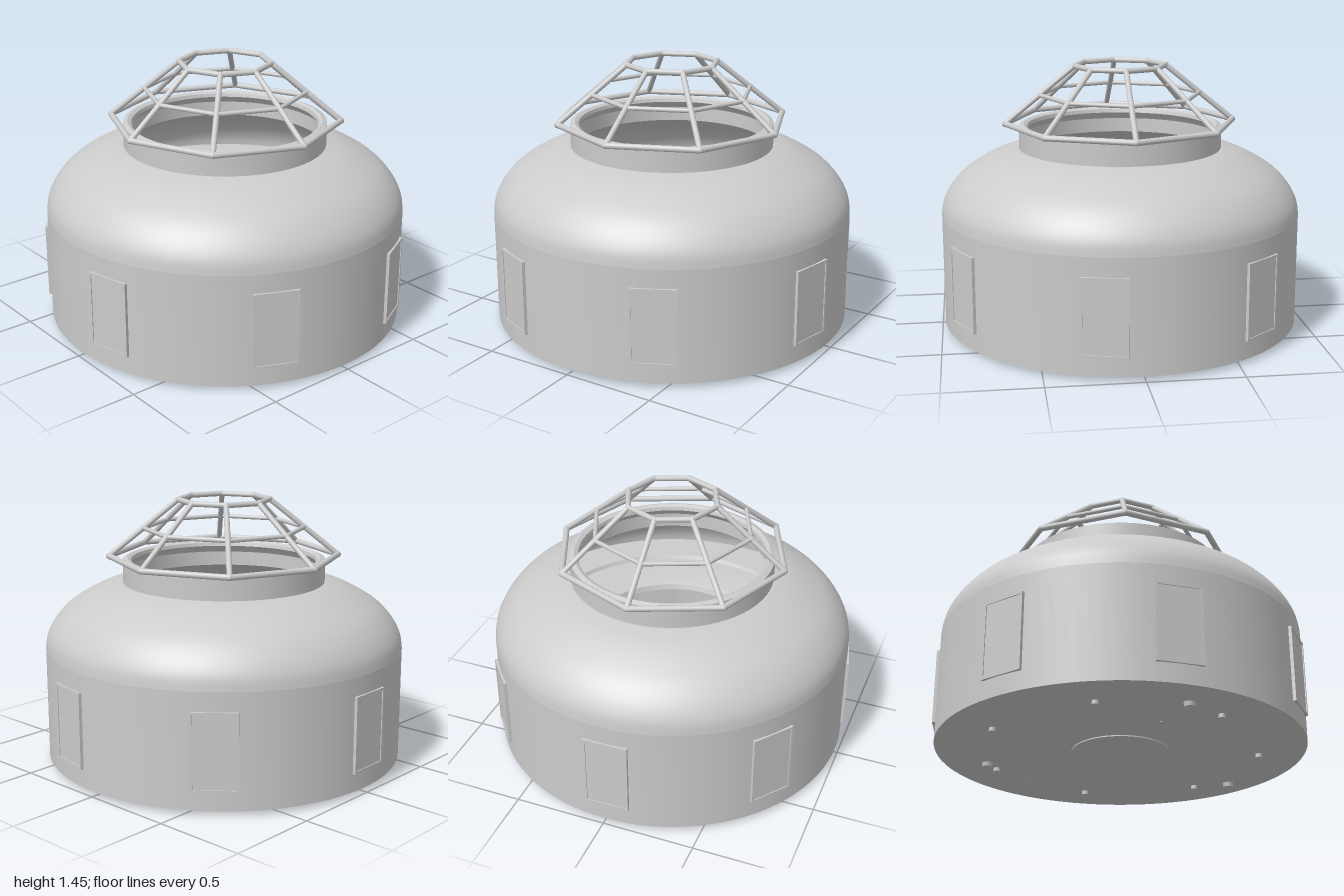
import * as THREE from 'three';
import { mergeGeometries, toCreasedNormals } from 'three/addons/utils/BufferGeometryUtils.js';

const V = (x, y, z) => new THREE.Vector3(x, y, z);

export function createModel() {
  const model = new THREE.Group();
  const grey = new THREE.MeshStandardMaterial({ color: 0xcccccc });
  const greyBoth = new THREE.MeshStandardMaterial({ color: 0xcccccc, side: THREE.DoubleSide });
  const red = new THREE.MeshStandardMaterial({ color: 0xcc0000 });

  const add = (name, geometry, material = grey, parent = model) => {
    const mesh = new THREE.Mesh(geometry, material);
    mesh.name = name;
    parent.add(mesh);
    return mesh;
  };
  const lathe = (name, pts) => add(name, toCreasedNormals(
    new THREE.LatheGeometry(pts.map(p => new THREE.Vector2(p[0], p[1])), 96), 0.5), greyBoth);
  // Cylinder between two points
  const rod = (a, b, r1, r2 = r1, sides = 12) => {
    const d = b.clone().sub(a);
    const g = new THREE.CylinderGeometry(r2, r1, d.length(), sides);
    g.applyQuaternion(new THREE.Quaternion().setFromUnitVectors(V(0, 1, 0), d.normalize()));
    const m = a.clone().add(b).multiplyScalar(0.5);
    return g.translate(m.x, m.y, m.z);
  };

  // Hollow jar: straight wall, rounded shoulder and short neck
  const shoulder = new THREE.SplineCurve([[0.985, 0.65], [0.972, 0.72], [0.93, 0.795], [0.86, 0.868],
    [0.76, 0.93], [0.66, 0.975], [0.565, 1.0]].map(p => new THREE.Vector2(...p)))
    .getPoints(28).map(p => [p.x, p.y]);
  lathe('wall', [[0, 0.04], [0.985, 0.04], [0.985, 0.65]]);
  lathe('shoulder', shoulder);
  lathe('innerShoulder', shoulder.map(([r, y]) => [r - 0.025, y - 0.02]));
  lathe('neck', [[0.565, 1.0], [0.555, 1.0], [0.555, 1.12], [0.53, 1.13], [0.51, 1.12],
    [0.505, 1.1], [0.525, 1.08], [0.54, 1.06], [0.54, 0.98]]);
  lathe('innerShelf', [[0.985, 0.65], [0.76, 0.65], [0.75, 0.63], [0.5, 0.63], [0.47, 0.62], [0.46, 0.59]]);
  const hatch = add('bottomHatch', new THREE.CylinderGeometry(0.26, 0.26, 0.006, 64));
  hatch.position.y = 0.036;

  // Octagonal cage over the opening
  const rings = [[0.63, 1.137, 0.016], [0.44, 1.29, 0.012], [0.25, 1.445, 0.015]];
  const corner = (ring, i) => V(ring[0] * Math.cos(i * Math.PI / 4), ring[1], ring[0] * Math.sin(i * Math.PI / 4));
  const bars = [];
  for (let i = 0; i < 8; i++) {
    for (const ring of rings) {
      const c = corner(ring, i);
      bars.push(rod(c, corner(ring, i + 1), ring[2]));
      bars.push(new THREE.SphereGeometry(0.017, 12, 8).translate(c.x, c.y, c.z));
    }
    bars.push(rod(corner(rings[0], i), corner(rings[2], i), 0.015));
  }
  add('cage', mergeGeometries(bars));

  // Seven framed panels around the wall, with a small stud between each pair
  const frameShape = new THREE.Shape();
  const outline = (path, w, h) => path.moveTo(-w, -h).lineTo(w, -h).lineTo(w, h).lineTo(-w, h).closePath();
  outline(frameShape, 0.12, 0.205);
  const hole = new THREE.Path();
  outline(hole, 0.108, 0.193);
  frameShape.holes.push(hole);
  const frameGeo = new THREE.ExtrudeGeometry(frameShape, { depth: 0.03, bevelEnabled: false }).translate(0, 0, -0.03);
  const plateGeo = new THREE.BoxGeometry(0.216, 0.386, 0.03).translate(0, 0, -0.02);
  const studGeo = new THREE.CylinderGeometry(0.018, 0.018, 0.03, 16);
  for (let i = 0; i < 7; i++) {
    const a = Math.PI + 0.02 + i * 2 * Math.PI / 7;
    const panel = new THREE.Group();
    panel.name = 'wallPanel';
    add('panelFrame', frameGeo, grey, panel);
    add('panelPlate', plateGeo, grey, panel);
    panel.position.set(0.994 * Math.sin(a), 0.345, 0.994 * Math.cos(a));
    panel.rotation.y = a;
    model.add(panel);
    const b = a + Math.PI / 7;
    add('stud', studGeo).position.set(0.74 * Math.sin(b), 0.035, 0.74 * Math.cos(b));
  }

  // Three larger feet
  for (const [x, z] of [[0.22, -0.72], [0.53, 0.64], [-0.72, 0.3]]) {
    add('foot', new THREE.CylinderGeometry(0.032, 0.026, 0.03, 20)).position.set(x, 0.032, z);
  }

  // Wavy ground that dips slightly through the floor
  const height = (x, z) => {
    const edge = Math.max(Math.abs(x), Math.abs(z)) / 0.52;
    const waves = 0.02 * Math.sin(9 * x + 2 * z) * Math.cos(8 * z - 3 * x) + 0.01 * Math.sin(19 * x - 13 * z);
    return Math.max(0.018, 0.032 + 0.05 * (1 - edge * edge) + waves);
  };
  const ground = new THREE.PlaneGeometry(1.04, 1.04, 48, 48).rotateX(-Math.PI / 2);
  const pos = ground.attributes.position;
  for (let i = 0; i < pos.count; i++) pos.setY(i, height(pos.getX(i), pos.getZ(i)));
  ground.computeVertexNormals();
  add('ground', ground, greyBoth);

  // Low conifer: drooping branches lined with needles
  const top = V(0.12, 0.28, -0.02);
  const tree = [rod(V(0.12, 0.06, -0.02), top, 0.02, 0.008, 8)];
  const tips = [[0.28, -0.43], [0.38, -0.3], [0.42, 0.3], [0.3, 0.16], [-0.05, 0.33], [0.02, 0.2], [-0.17, -0.2], [0.0, -0.23]];
  tips.forEach(([x, z], k) => {
    const end = V(x, 0.09 + 0.05 * (k % 2), z);
    const mid = top.clone().lerp(end, 0.5).add(V(0, 0.04, 0));
    const curve = new THREE.QuadraticBezierCurve3(top.clone().add(V(0, -0.04, 0)), mid, end);
    tree.push(new THREE.TubeGeometry(curve, 10, 0.006, 6));
    for (let i = 2; i <= 26; i++) {
      const p = curve.getPoint(i / 26);
      const dir = curve.getTangent(i / 26);
      const side = V(-dir.z, 0, dir.x).normalize();
      const length = 0.06 * (1 - 0.4 * i / 26);
      for (const s of [-1, 1]) {
        const q = p.clone().addScaledVector(side, s * length).addScaledVector(dir, length * 0.6);
        q.y += 0.012 * ((i % 3) - 1);
        tree.push(rod(p, q, 0.004, 0.001, 4));
      }
    }
  });
  add('conifer', mergeGeometries(tree));

  // Small red box lying on the ground
  const box = add('redBox', new THREE.BoxGeometry(0.075, 0.05, 0.12), red);
  box.position.set(-0.09, 0.14, 0.07);
  box.rotation.set(0, 0.3, 0.25);

  return model;
}
